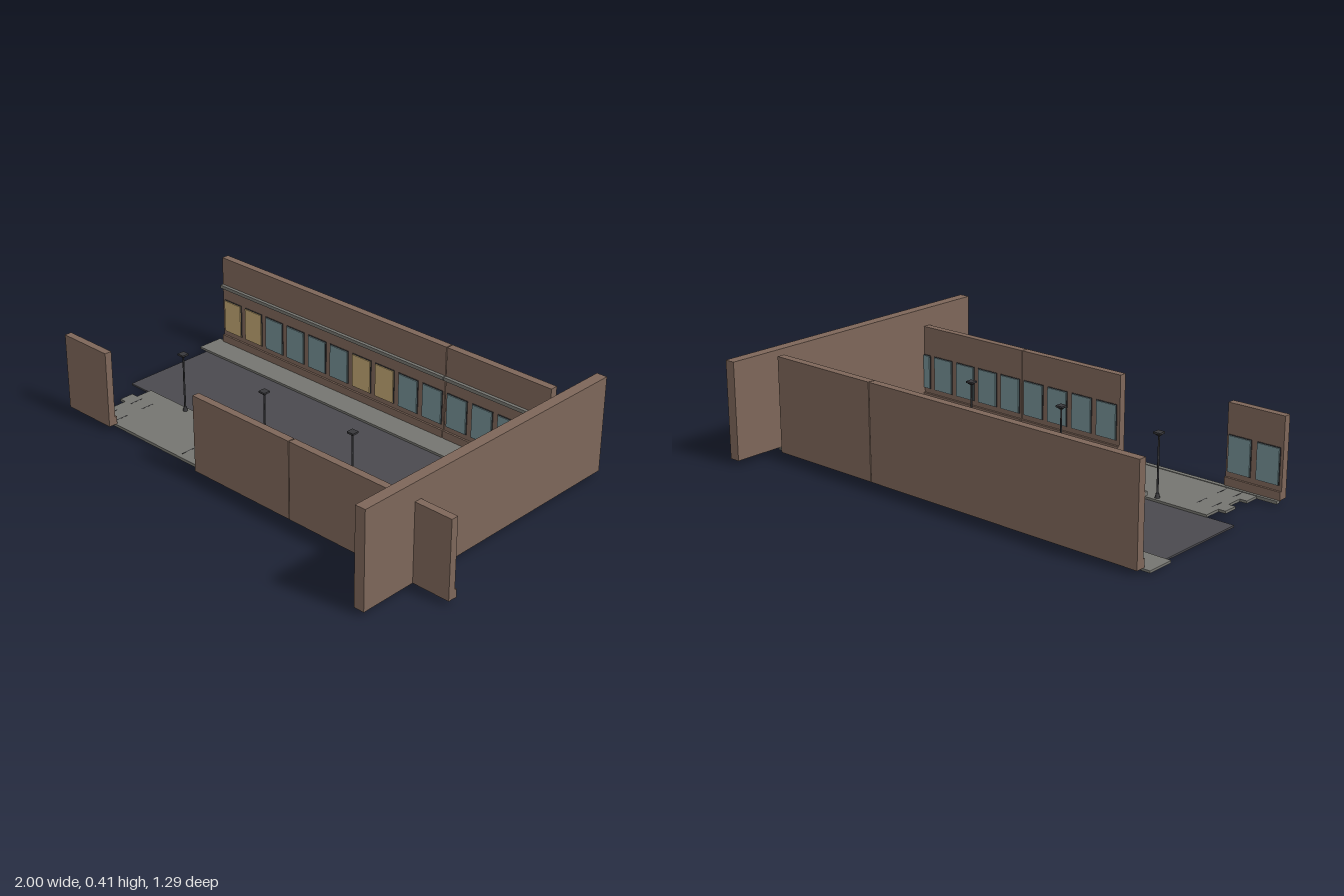
import * as THREE from 'three';

const mat = (name, color) => {
  const m = new THREE.MeshStandardMaterial({ color });
  m.name = name;
  return m;
};

export function createModel() {
  const brick = mat('brown wall', 0x7d6659);
  const stone = mat('grey paving', 0x757570);
  const asphalt = mat('dark asphalt', 0x4a494e);
  const glass = mat('blue glass', 0x748f94);
  const litGlass = mat('yellow lit glass', 0xc0a672);
  const iron = mat('dark iron', 0x38383b);

  const root = new THREE.Group();
  root.name = 'streetBlock';

  // Box given by its limits on each axis
  function block(name, material, [x0, x1], [y0, y1], [z0, z1], parent = root) {
    const mesh = new THREE.Mesh(new THREE.BoxGeometry(x1 - x0, y1 - y0, z1 - z0), material);
    mesh.position.set((x0 + x1) / 2, (y0 + y1) / 2, (z0 + z1) / 2);
    mesh.name = name;
    parent.add(mesh);
    return mesh;
  }

  // Road and pavements
  block('road', asphalt, [-0.965, 0.78], [0, 0.007], [-0.35, 0.088]);
  block('backPavement', stone, [-1, 0.8], [0.009, 0.018], [-0.44, -0.325]);
  block('frontKerbStrip', stone, [-0.965, 0.78], [0.006, 0.018], [0.353, 0.372]);

  // Front pavement laid in rows with staggered ends
  const rows = [
    [0.085, 0.158, -0.85, 0.678], [0.158, 0.22, -0.88, 0.668],
    [0.22, 0.29, -0.85, 0.678], [0.29, 0.353, -0.88, 0.663],
  ];
  for (const [z0, z1, x0, x1] of rows) {
    block('frontPavementRow', stone, [x0, x1], [0.006, 0.016], [z0, z1]);
  }

  // Dark joints between paving slabs
  for (const x of [-0.82, -0.755, -0.37, -0.09, 0.295, 0.36]) {
    for (const z of [0.158, 0.288]) {
      block('pavingJoint', iron, [x - 0.002, x + 0.002], [0.0155, 0.0165], [z, z + 0.06]);
    }
  }

  // Walls, with a narrow gap where the sections meet
  const gap = [0.257, 0.261];
  const backTop = [0.018, 0.403], frontTop = [0.018, 0.335];
  for (const xs of [[-0.97, gap[0]], [gap[1], 0.75]]) {
    block('backWall', brick, xs, backTop, [-0.47, -0.438]);
    block('backWallBase', brick, xs, [0.018, 0.05], [-0.438, -0.43]);
    block('backWallLedge', stone, xs, [0.268, 0.282], [-0.438, -0.424]);
  }
  for (const xs of [[-0.97, -0.728], [-0.235, gap[0]], [gap[1], 1]]) {
    block('frontWall', brick, xs, frontTop, [0.374, 0.404]);
    block('frontWallBase', brick, xs, [0.016, 0.05], [0.365, 0.374]);
  }
  block('sideWall', brick, [0.798, 0.842], [0.018, 0.41], [-0.645, 0.645]);

  // Windows on one shared spacing, facing the road
  function windowAt(i, wallZ, dir, pane) {
    const x = -0.909 + i * 0.123;
    const g = new THREE.Group();
    g.name = 'window';
    root.add(g);
    const slab = (a, b) => [wallZ + dir * a, wallZ + dir * b].sort((p, q) => p - q);
    block('windowFrame', iron, [x - 0.05, x + 0.05], [0.07, 0.215], slab(0, 0.003), g);
    block('windowPane', pane, [x - 0.047, x + 0.047], [0.073, 0.212], slab(0.001, 0.007), g);
  }
  for (let i = 0; i < 14; i++) windowAt(i, -0.438, 1, [0, 1, 6, 7].includes(i) ? litGlass : glass);
  for (let i = 0; i < 16; i++) if (i < 2 || i > 5) windowAt(i, 0.374, -1, glass);

  // Street lamps along the kerb
  for (const x of [-0.62, -0.168, 0.285]) {
    const lamp = new THREE.Group();
    lamp.name = 'streetLamp';
    lamp.position.set(x, 0, 0.105);
    const turned = (name, r1, r2, y0, y1, sides) => {
      const m = new THREE.Mesh(new THREE.CylinderGeometry(r1, r2, y1 - y0, sides), iron);
      m.position.y = (y0 + y1) / 2;
      m.name = name;
      lamp.add(m);
      return m;
    };
    turned('lampFoot', 0.006, 0.01, 0.016, 0.034, 8);
    turned('lampPole', 0.0035, 0.004, 0.03, 0.258, 8);
    turned('lampNeck', 0.018, 0.004, 0.25, 0.26, 4).rotation.y = Math.PI / 4;
    block('lampHead', iron, [-0.015, 0.015], [0.26, 0.267], [-0.015, 0.015], lamp);
    root.add(lamp);
  }

  return root;
}
